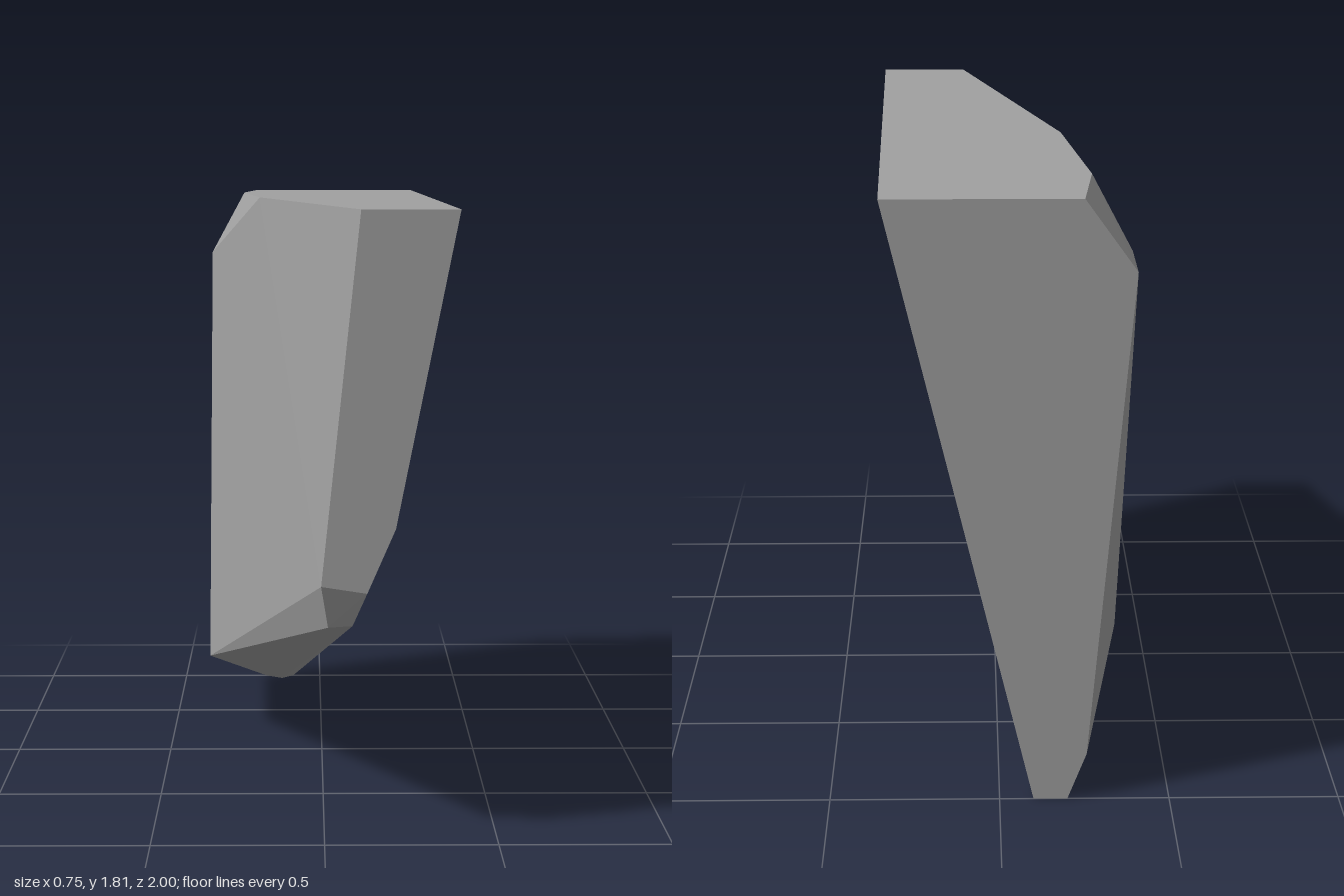
import * as THREE from 'three';
import { ConvexGeometry } from 'three/addons/geometries/ConvexGeometry.js';

// A slab of rock: a faceted convex block with chipped corners.
export function createModel() {
  const stone = new THREE.MeshStandardMaterial({ color: 0xa0a0a0 });
  stone.name = 'stone grey';

  const top = 1.81;
  const corners = [
    // flat top outline
    [-0.23, top, -1], [0.33, top, -1], [0.375, top, 1],
    [0.10, top, 1], [-0.20, top, -0.11], [-0.265, top, -0.69],
    // front face
    [0.20, 0.92, 1], [0.12, 0.735, 1], [-0.01, 0.755, 1],
    // chipped lower front edge
    [0.01, 0.625, 0.945], [0.08, 0.63, 0.945],
    // bulging side
    [-0.378, 1.605, -1], [-0.38, 1.6, -0.75], [-0.38, 0.245, -0.30],
    // narrow foot at the back
    [-0.255, 0.145, -1], [-0.20, 0, -1], [-0.10, 0, -1], [-0.14, 0.04, -0.8],
  ];

  const rock = new THREE.Mesh(
    new ConvexGeometry(corners.map((c) => new THREE.Vector3(...c))), stone);
  rock.name = 'rock';

  const model = new THREE.Group();
  model.name = 'rockSlab';
  model.add(rock);
  return model;
}
